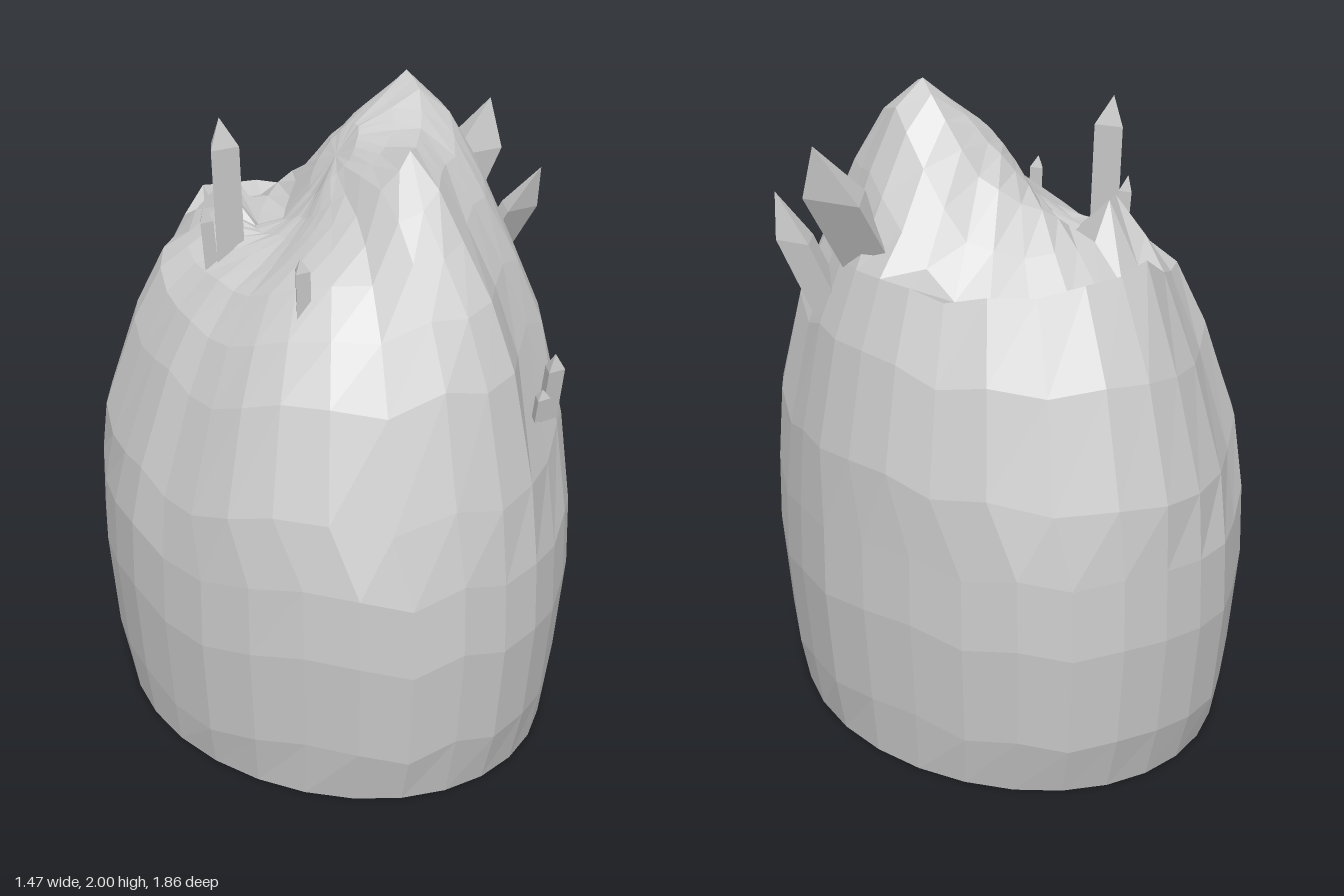
import * as THREE from 'three';

const SEGMENTS = 32;
const material = new THREE.MeshStandardMaterial({ color: 0xcccccc, flatShading: true });

// Lower rings: plain ellipses [x radius, y, z radius]
const skirt = [[0.685, 0, 0.85], [0.71, 0.18, 0.9], [0.735, 0.5, 0.93], [0.73, 0.72, 0.92]];

// Upper rings: eight [radius, y] pairs each, starting at +x and turning through +z, -x, -z
const crown = [
  [[0.71, 0.97], [0.78, 0.98], [0.89, 0.95], [0.78, 0.92], [0.69, 0.9], [0.78, 0.92], [0.91, 0.92], [0.80, 0.95]],
  [[0.64, 1.3], [0.70, 1.28], [0.80, 1.28], [0.67, 1.22], [0.58, 1.2], [0.67, 1.22], [0.80, 1.25], [0.73, 1.25]],
  [[0.56, 1.49], [0.61, 1.48], [0.70, 1.47], [0.57, 1.38], [0.50, 1.34], [0.57, 1.42], [0.65, 1.51], [0.64, 1.47]],
  [[0.46, 1.74], [0.50, 1.67], [0.58, 1.61], [0.46, 1.5], [0.40, 1.45], [0.48, 1.47], [0.55, 1.43], [0.54, 1.44]],
  [[0.37, 1.92], [0.40, 1.79], [0.48, 1.71], [0.35, 1.56], [0.28, 1.51], [0.38, 1.56], [0.42, 1.54], [0.42, 1.58]],
  [[0.28, 2.0], [0.29, 1.87], [0.36, 1.77], [0.25, 1.6], [0.19, 1.56], [0.25, 1.57], [0.31, 1.62], [0.29, 1.74]],
  [[0.19, 1.93], [0.2, 1.86], [0.22, 1.79], [0.16, 1.64], [0.12, 1.61], [0.16, 1.61], [0.2, 1.68], [0.19, 1.82]],
  [[0.09, 1.86], [0.09, 1.84], [0.1, 1.78], [0.08, 1.71], [0.06, 1.67], [0.07, 1.68], [0.09, 1.74], [0.09, 1.82]],
];

// Local peaks and hollows on the broken top: [x, z, height, width]
const peaks = [
  [0.06, 0.37, 0.06, 0.1], [-0.2, -0.36, 0.18, 0.08], [-0.13, -0.64, 0.06, 0.1], [-0.09, -0.17, -0.07, 0.12],
];

function noise(n) {
  const s = Math.sin(n * 127.1 + 3.7) * 43758.5453;
  return (s - Math.floor(s)) * 2 - 1;
}

function ringPoints() {
  const rings = skirt.map(([rx, y, rz]) => Array.from({ length: SEGMENTS }, (_, i) => {
    const a = i / SEGMENTS * Math.PI * 2;
    return new THREE.Vector3(Math.cos(a) * rx, y, Math.sin(a) * rz);
  }));
  for (const row of crown) {
    const controls = row.map(([r, y], k) => {
      const a = k * Math.PI / 4;
      return new THREE.Vector3(Math.cos(a) * r, y, Math.sin(a) * r);
    });
    const curve = new THREE.CatmullRomCurve3(controls, true, 'catmullrom', 0.5);
    rings.push(Array.from({ length: SEGMENTS }, (_, i) => curve.getPoint(i / SEGMENTS)));
  }
  rings.forEach((ring, j) => ring.forEach((p, i) => {
    // Skewed oval plan with vertical flutes and one gully beside the front crest
    const skew = Math.sin(2 * Math.atan2(p.z, p.x));
    let s = 1 - 0.035 * skew - 0.01 * skew * skew;
    if (j > 0 && i % 4 !== 0) s += 0.014 * noise(i);
    if (j > 4 && j < 9 && (i === 5 || i === 6)) s -= 0.05;
    p.x *= s;
    p.z *= s;
    // Peaks on top, zigzag courses on the sides
    if (j > 5) {
      for (const [x, z, h, w] of peaks) p.y += h * Math.exp(-((p.x - x) ** 2 + (p.z - z) ** 2) / (w * w));
    }
    if (j > 0 && i % 8 !== 0) p.y += (j > 5 ? 0.04 * Math.hypot(p.x, p.z) : 0.04) * noise(i * 3 + 5);
  }));
  return rings;
}

function rockGeometry() {
  const rings = ringPoints();
  const points = rings.flat();
  const bottom = points.push(new THREE.Vector3(0, 0, 0)) - 1;
  const top = points.push(new THREE.Vector3(0.02, 1.77, 0)) - 1;
  const index = [];
  const last = (rings.length - 1) * SEGMENTS;
  for (let i = 0; i < SEGMENTS; i++) {
    const n = (i + 1) % SEGMENTS;
    for (let j = 0; j < rings.length - 1; j++) {
      const lo = j * SEGMENTS, hi = lo + SEGMENTS;
      index.push(lo + i, hi + i, lo + n, lo + n, hi + i, hi + n);
    }
    index.push(bottom, i, n, top, last + n, last + i);
  }
  const geometry = new THREE.BufferGeometry().setFromPoints(points);
  geometry.setIndex(index);
  geometry.computeVertexNormals();
  return geometry;
}

// Three-sided prism with a pointed tip, level cross-sections leaning from base to tip
function crystal(name, base, tip, radius, tipHeight) {
  const [dx, height, dz] = tip.map((v, k) => v - base[k]);
  const profile = [[0, 0], [radius, 0], [radius, height - tipHeight], [0, height]]
    .map(([x, y]) => new THREE.Vector2(x, y));
  const geometry = new THREE.LatheGeometry(profile, 3, Math.PI);
  const lean = new THREE.Matrix4().set(
    1, dx / height, 0, 0,
    0, 1, 0, 0,
    0, dz / height, 1, 0,
    0, 0, 0, 1,
  );
  geometry.applyMatrix4(lean);
  const mesh = new THREE.Mesh(geometry, material);
  mesh.name = name;
  mesh.position.set(...base);
  return mesh;
}

export function createModel() {
  const model = new THREE.Group();
  model.name = 'crystalRock';

  const rock = new THREE.Mesh(rockGeometry(), material);
  rock.name = 'rock';
  model.add(rock);

  // Crystals growing out of the upper rock
  model.add(
    crystal('tallCrystal', [-0.305, 1.45, -0.115], [-0.32, 1.91, -0.115], 0.056, 0.09),
    crystal('tallCrystalShoot', [-0.365, 1.4, -0.11], [-0.385, 1.65, -0.11], 0.026, 0.05),
    crystal('shoulderCrystal', [-0.345, 1.4, 0.38], [-0.35, 1.62, 0.38], 0.028, 0.04),
    crystal('largeSideCrystal', [0.45, 1.43, -0.09], [0.665, 1.85, -0.06], 0.115, 0.16),
    crystal('smallSideCrystal', [0.56, 1.27, 0.0], [0.69, 1.67, 0.18], 0.07, 0.14),
    crystal('frontCrystal', [0.215, 1.15, 0.8], [0.215, 1.36, 0.83], 0.034, 0.05),
    crystal('frontCrystalShoot', [0.175, 1.16, 0.815], [0.175, 1.26, 0.83], 0.026, 0.03),
  );
  return model;
}
